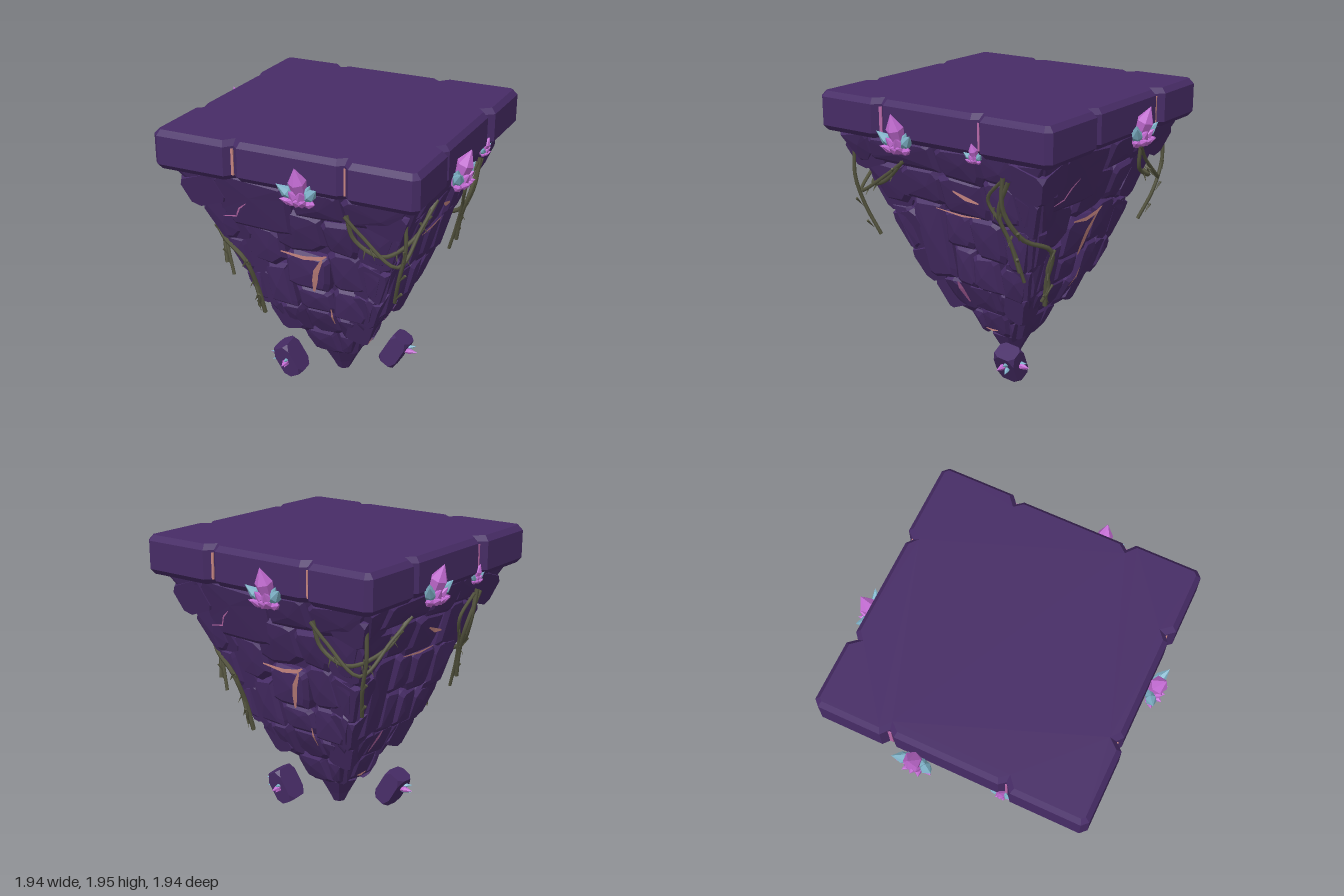
import * as THREE from 'three';
import { ConvexGeometry } from 'three/addons/geometries/ConvexGeometry.js';

const mat = (name, color, side = THREE.FrontSide) => {
  const m = new THREE.MeshStandardMaterial({ color, side });
  m.name = name;
  return m;
};

// Seeded random in -1..1
let seed = 7;
const rnd = () => {
  seed = (seed * 16807) % 2147483647;
  return (seed / 2147483647) * 2 - 1;
};

// Half width of the inverted pyramid at each height
const PROFILE = [[0, 0.03], [0.2, 0.11], [0.4, 0.2], [0.66, 0.38], [0.9, 0.46], [1.2, 0.55], [1.5, 0.68], [1.72, 0.8]];
function halfWidth(y) {
  for (let i = 1; i < PROFILE.length; i++) {
    const [y0, w0] = PROFILE[i - 1], [y1, w1] = PROFILE[i];
    if (y <= y1) return w0 + ((w1 - w0) * (y - y0)) / (y1 - y0);
  }
  return 0.8;
}

// Flat facets
function facet(geo) {
  const g = geo.index ? geo.toNonIndexed() : geo;
  g.computeVertexNormals();
  return g;
}

function add(parent, name, geo, material) {
  const m = new THREE.Mesh(geo, material);
  m.name = name;
  parent.add(m);
  return m;
}

// One wall stone: back ring, edge ring, chamfered front ring and a slightly raised centre
function stoneGeometry([x0, x1, y0, y1]) {
  const cx = (x0 + x1) / 2, cy = (y0 + y1) / 2, hx = (x1 - x0) / 2, hy = (y1 - y0) / 2;
  const bump = 0.04 + 0.014 * rnd(), tx = 0.08 * rnd(), ty = 0.08 * rnd(), turn = 0.07 * rnd();
  const c = 0.3 * Math.min(hx, hy);
  const corners = [[-1, -1], [1, -1], [1, 1], [-1, 1]];
  const outline = corners.flatMap(([sx, sy]) => {
    const a = [sx * (hx - c * (1 + 0.8 * rnd())), sy * (hy + 0.016 * rnd())];
    const b = [sx * (hx + 0.016 * rnd()), sy * (hy - c * (1 + 0.8 * rnd()))];
    return sx * sy > 0 ? [b, a] : [a, b];
  }).map(([x, y]) => [cx + x - y * turn, cy + y + x * turn]);
  const base = halfWidth(cy);
  const at = (x, y, d) => {
    const w = halfWidth(y);
    const z = base + (w - base) * 0.8 + d + tx * (x - cx) + ty * (y - cy);
    return [THREE.MathUtils.clamp(x, -w, w), y, z];
  };
  const ix = 1 - Math.min(0.4, 0.028 / hx), iy = 1 - Math.min(0.4, 0.03 / hy);
  const rings = [
    outline.map(([x, y]) => at(x, y, -0.12)),
    outline.map(([x, y]) => at(x, y, bump - 0.03)),
    outline.map(([x, y]) => at(cx + (x - cx) * ix, cy + (y - cy) * iy, bump)),
  ];
  const tip = at(cx + 0.3 * hx * rnd(), cy + 0.3 * hy * rnd(), bump + 0.01);
  const pos = [];
  for (let i = 0; i < 8; i++) {
    const j = (i + 1) % 8;
    for (let r = 0; r < 2; r++) {
      const a = rings[r], b = rings[r + 1];
      pos.push(...a[i], ...a[j], ...b[j], ...a[i], ...b[j], ...b[i]);
    }
    pos.push(...rings[2][i], ...rings[2][j], ...tip);
  }
  const g = new THREE.BufferGeometry();
  g.setAttribute('position', new THREE.Float32BufferAttribute(pos, 3));
  return facet(g);
}

// Boulder: a box with its corners cut off, keeping about `keep` of each edge
function boulderGeometry(hx, hy, hz, keep) {
  const pts = [];
  for (const x of [-hx, hx]) for (const y of [-hy, hy]) for (const z of [-hz, hz]) {
    for (const axis of ['x', 'y', 'z']) {
      const p = new THREE.Vector3(x, y, z);
      p[axis] *= keep + 0.12 * rnd();
      pts.push(p);
    }
  }
  return facet(new ConvexGeometry(pts));
}

// Thin tapering strip lying over the wall between stones
function crackGeometry(points, width) {
  const pos = [], n = points.length - 1;
  const edge = (i, s) => {
    const [x, y] = points[i], a = points[Math.max(0, i - 1)], b = points[Math.min(n, i + 1)];
    const dx = b[0] - a[0], dy = b[1] - a[1], l = Math.hypot(dx, dy);
    const w = (s * width * (i === 0 || i === n ? 0.35 : 1)) / 2;
    return [x - (dy / l) * w, y + (dx / l) * w, halfWidth(y) + 0.06];
  };
  for (let i = 0; i < n; i++) {
    const a = edge(i, -1), b = edge(i + 1, -1), c = edge(i + 1, 1), d = edge(i, 1);
    pos.push(...a, ...b, ...c, ...a, ...c, ...d);
  }
  const g = new THREE.BufferGeometry();
  g.setAttribute('position', new THREE.Float32BufferAttribute(pos, 3));
  return facet(g);
}

// Wall stones as [left, right, bottom, top] for the two kinds of side
const FRONT = [
  [-0.82, -0.5, 1.48, 1.7], [-0.54, -0.03, 1.29, 1.7], [-0.01, 0.35, 1.46, 1.7], [0.34, 0.82, 1.48, 1.7],
  [-0.7, -0.44, 1.16, 1.5], [-0.17, 0.17, 1.17, 1.5], [0.17, 0.4, 1.2, 1.47], [0.38, 0.7, 1.16, 1.5],
  [-0.46, -0.16, 1, 1.31], [-0.16, 0.15, 0.86, 1.14], [0.15, 0.4, 0.9, 1.2], [0.38, 0.6, 0.88, 1.18], [-0.6, -0.42, 0.9, 1.18],
  [-0.36, -0.14, 0.66, 1.01], [-0.13, 0.13, 0.66, 0.86], [0.13, 0.37, 0.63, 0.9], [-0.52, -0.35, 0.66, 0.93], [0.36, 0.52, 0.65, 0.9],
  [-0.29, -0.12, 0.4, 0.66], [-0.12, 0.12, 0.42, 0.66], [0.12, 0.28, 0.4, 0.64], [-0.42, -0.27, 0.47, 0.7], [0.26, 0.42, 0.47, 0.67],
  [-0.2, 0.06, 0.21, 0.43], [0.05, 0.2, 0.22, 0.42],
];
const SIDE = [
  [-0.82, -0.55, 1.48, 1.7], [-0.57, -0.03, 1.5, 1.7], [-0.03, 0.3, 1.46, 1.7], [0.28, 0.57, 1.48, 1.7], [0.55, 0.82, 1.48, 1.7],
  [-0.72, -0.37, 1.2, 1.5], [-0.39, -0.08, 1.25, 1.52], [-0.08, 0.26, 1.2, 1.48], [0.26, 0.5, 1.19, 1.5], [0.48, 0.72, 1.2, 1.5],
  [-0.39, -0.14, 0.68, 1.25], [-0.14, 0.07, 0.94, 1.22], [0.07, 0.32, 0.9, 1.21], [0.31, 0.58, 0.87, 1.2], [-0.6, -0.38, 0.84, 1.2],
  [-0.14, 0.03, 0.66, 0.95], [0.02, 0.23, 0.63, 0.92], [0.22, 0.48, 0.6, 0.88], [-0.48, -0.29, 0.5, 0.85],
  [-0.29, -0.13, 0.39, 0.69], [-0.11, 0.13, 0.42, 0.66], [0.12, 0.34, 0.36, 0.63],
  [-0.2, -0.08, 0.22, 0.42], [-0.1, 0.12, 0.22, 0.44], [0.1, 0.2, 0.2, 0.4],
];
// Corner boulders as [height of centre, half height, half width]
const CORNER = [[1.59, 0.11, 0.13], [1.33, 0.16, 0.11], [1.05, 0.15, 0.1], [0.79, 0.13, 0.09], [0.57, 0.12, 0.08]];

export function createModel() {
  const stone = mat('purple stone', 0x472c66);
  const pink = mat('pink crystal', 0xc46cd4);
  const teal = mat('teal crystal', 0x80b4ca);
  const vine = mat('dark vine', 0x55553f);
  const salmon = mat('salmon crack', 0xc48480, THREE.DoubleSide);
  const rose = mat('rose crack', 0xb868a8, THREE.DoubleSide);
  const model = new THREE.Group();
  model.name = 'floatingIsland';

  // Solid core behind the stones, and the blunt tip
  const core = PROFILE.map(([y, w]) => new THREE.Vector2(Math.max(0.02, w - 0.035) * Math.SQRT2, y + 0.03));
  add(model, 'core', facet(new THREE.LatheGeometry(core, 4, Math.PI / 4)), stone);
  const tip = [[0, 0.02], [0.045, 0.025], [0.085, 0.1], [0.15, 0.21], [0.12, 0.27], [0, 0.29]];
  add(model, 'tip', facet(new THREE.LatheGeometry(tip.map(p => new THREE.Vector2(...p)), 7, 0.2)), stone);

  // Top slab with V notches; the second half of the outline is the first turned half way round
  const half = [[-0.835, 0.855], [-0.395, 0.855], [-0.34, 0.79], [-0.285, 0.835], [0.355, 0.835], [0.41, 0.79], [0.465, 0.855],
    [0.835, 0.855], [0.855, 0.835], [0.855, 0.455], [0.79, 0.4], [0.835, 0.345], [0.835, -0.305], [0.79, -0.36], [0.855, -0.415], [0.855, -0.835]];
  const outline = [...half, ...half.map(([x, z]) => [-x, -z])].map(([x, z]) => new THREE.Vector2(x, -z));
  const slab = new THREE.ExtrudeGeometry(new THREE.Shape(outline), {
    depth: 0.185, bevelEnabled: true, bevelThickness: 0.035, bevelSize: 0.03, bevelSegments: 1,
  });
  slab.rotateX(-Math.PI / 2).translate(0, 1.725, 0);
  add(model, 'topSlab', facet(slab), stone);

  // Crystals: [material, sideways lean, outward lean, length, radius]
  const crystal = (parent, [m, side, out, len, r]) => {
    const pts = [[0, 0], [r * 0.6, 0], [r, len * 0.62], [0, len]].map(p => new THREE.Vector2(...p));
    const c = add(parent, 'crystal', facet(new THREE.LatheGeometry(pts, 6)), m);
    c.rotation.set(out, 0, -side, 'ZXY');
  };
  const CLUSTER = [
    [pink, 0, 0.36, 0.27, 0.056], [teal, 0.8, 0.4, 0.2, 0.036], [teal, -0.8, 0.4, 0.2, 0.036],
    [teal, 0.5, 0.25, 0.16, 0.03], [teal, -0.5, 0.25, 0.16, 0.03], [pink, 0.35, 0.75, 0.15, 0.034], [pink, -0.35, 0.75, 0.15, 0.034],
    [pink, 1.3, 0.5, 0.14, 0.028], [pink, -1.3, 0.5, 0.14, 0.028], [pink, 0.9, 1, 0.13, 0.028], [pink, -0.9, 1, 0.13, 0.028], [pink, 0, 1.2, 0.12, 0.03],
  ];
  const cluster = (parent, x, y, z, turn, scale) => {
    const g = new THREE.Group();
    g.name = 'crystalCluster';
    g.position.set(x, y, z);
    g.rotation.y = turn;
    g.scale.setScalar(scale);
    CLUSTER.forEach(c => crystal(g, c));
    parent.add(g);
  };

  const wall = (parent, name, stones, cracks, slabCracks, turn) => {
    const g = new THREE.Group();
    g.name = name;
    g.rotation.y = turn;
    stones.forEach(s => add(g, 'wallStone', stoneGeometry(s), stone));
    cracks.forEach(([m, w, ...pts]) => add(g, 'crack', crackGeometry(pts, w), m));
    slabCracks.forEach(([m, x, w]) => add(g, 'slabCrack', new THREE.BoxGeometry(w, 0.17, 0.008).translate(x, 1.81, 0.842), m));
    parent.add(g);
  };

  const tube = (parent, r, ...pts) => {
    const curve = new THREE.CatmullRomCurve3(pts.map(p => new THREE.Vector3(...p)));
    add(parent, 'vine', new THREE.TubeGeometry(curve, 24, r, 5), vine);
    // Short twigs along the strand
    for (const t of [0.35, 0.6, 0.85]) {
      const twig = add(parent, 'twig', new THREE.ConeGeometry(r * 0.8, 0.08, 4), vine);
      twig.position.copy(curve.getPoint(t)).add(new THREE.Vector3(0.015 * rnd(), -0.025, 0.01));
      twig.rotation.set(Math.PI + 0.4 * rnd(), 0, 0.7 * rnd());
    }
  };

  // Half of the surroundings, repeated at a half turn
  for (let k = 0; k < 2; k++) {
    const part = new THREE.Group();
    part.name = k ? 'backAndLeft' : 'frontAndRight';
    part.rotation.y = k * Math.PI;
    model.add(part);
    seed = 4217;

    wall(part, 'broadWall', FRONT, [
      [salmon, 0.026, [-0.16, 1.15], [0, 1.13], [0.12, 1.15], [0.17, 1.18]],
      [salmon, 0.04, [0.13, 1.14], [0.07, 1.03], [0.05, 0.95], [0.03, 0.86]],
      [rose, 0.012, [-0.52, 1.36], [-0.42, 1.38], [-0.38, 1.45], [-0.32, 1.5]],
      [salmon, 0.018, [0.13, 0.73], [0.125, 0.66], [0.12, 0.58]],
    ], [[salmon, -0.34, 0.018], [salmon, 0.41, 0.012]], 0);
    wall(part, 'sideWall', SIDE, [
      [salmon, 0.03, [0.04, 1.39], [0.13, 1.35], [0.22, 1.33]],
      [salmon, 0.014, [-0.15, 1.23], [0.05, 1.21], [0.2, 1.22]],
      [rose, 0.045, [-0.12, 0.68], [-0.12, 0.62], [-0.11, 0.5]],
      [salmon, 0.015, [-0.07, 0.28], [-0.02, 0.27], [0.03, 0.28]],
    ], [[rose, -0.4, 0.03], [rose, 0.36, 0.015]], Math.PI / 2);

    // Boulders stacked up the two front corners, leaning with the walls
    for (const s of [-1, 1]) for (const [y, hy, w] of CORNER) {
      const o = halfWidth(y) + 0.03 - w;
      const b = add(part, 'cornerStone', boulderGeometry(w, hy, w, 0.7), stone);
      b.position.set(s * o, y + 0.02 * rnd(), o);
      b.rotation.set(0.35 + 0.06 * rnd(), 0.12 * rnd(), -s * 0.35);
    }

    cluster(part, 0.14, 1.64, 0.86, 0, 1);
    cluster(part, 0.86, 1.64, 0.22, Math.PI / 2, 1);
    cluster(part, 0.83, 1.65, -0.33, Math.PI / 2, 0.5);

    // Hanging vines: a double swag round the corner and loose strands
    tube(part, 0.014, [0.38, 1.57, 0.76], [0.42, 1.4, 0.73], [0.6, 1.31, 0.7], [0.72, 1.38, 0.48], [0.76, 1.54, 0.3]);
    tube(part, 0.012, [0.37, 1.56, 0.77], [0.47, 1.45, 0.75], [0.7, 1.27, 0.72], [0.74, 1.43, 0.45], [0.77, 1.55, 0.28]);
    tube(part, 0.013, [0.75, 1.55, 0.72], [0.75, 1.38, 0.72], [0.7, 1.18, 0.69], [0.64, 0.97, 0.61]);
    tube(part, 0.016, [-0.77, 1.57, 0.48], [-0.74, 1.35, 0.46], [-0.63, 1.15, 0.53], [-0.42, 1.03, 0.6], [-0.37, 0.8, 0.53], [-0.34, 0.62, 0.5]);
    tube(part, 0.014, [-0.77, 1.55, 0.52], [-0.73, 1.32, 0.42], [-0.66, 1.12, 0.46], [-0.62, 0.93, 0.5]);
    tube(part, 0.012, [-0.76, 1.54, 0.46], [-0.73, 1.4, 0.34], [-0.68, 1.22, 0.42], [-0.63, 1.05, 0.47], [-0.57, 0.85, 0.5]);
    tube(part, 0.013, [-0.4, 1.02, 0.6], [-0.39, 0.88, 0.55], [-0.36, 0.75, 0.54], [-0.38, 0.66, 0.5]);

    // Loose rock with small crystals floating beside the tip
    const rock = new THREE.Group();
    rock.name = 'looseRock';
    rock.position.set(-0.31, 0.13, 0.21);
    add(rock, 'rock', boulderGeometry(0.065, 0.115, 0.08, 0.55), stone).rotation.set(0.1, 0, 0.5);
    [[pink, -1.55, 0, 0.165, 0.02], [teal, -1.35, 0.25, 0.15, 0.017], [teal, -1.8, 0.3, 0.14, 0.017],
      [pink, 0, 1.6, 0.15, 0.022], [teal, 0.3, 1.4, 0.13, 0.016], [pink, -0.4, 1.75, 0.13, 0.016]].forEach(s => crystal(rock, s));
    part.add(rock);
  }
  return model;
}
